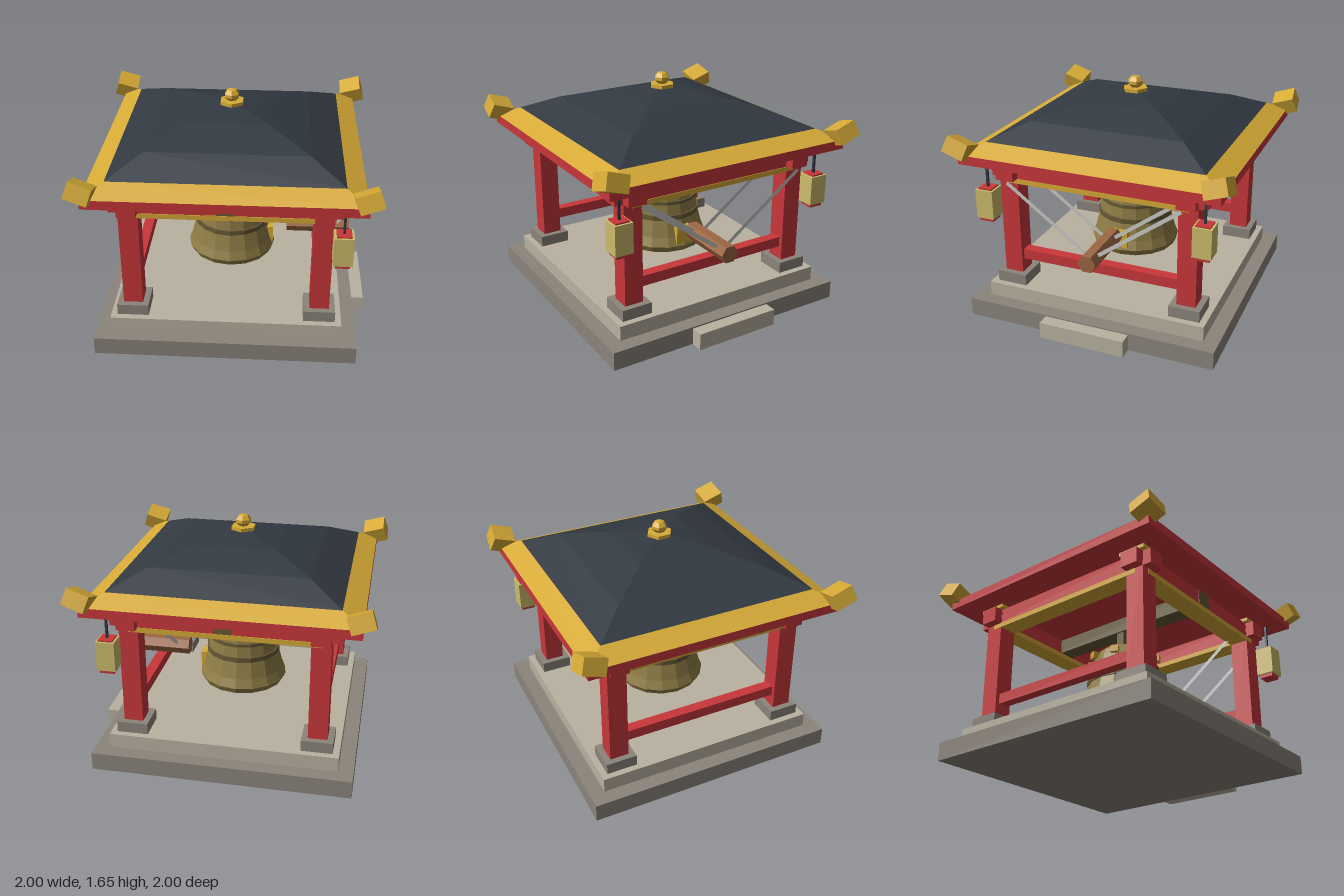
import * as THREE from 'three';

const mat = (name, color, side = THREE.FrontSide) => {
  const m = new THREE.MeshStandardMaterial({ color, flatShading: true, side });
  m.name = name;
  return m;
};

export function createModel() {
  const red = mat('red lacquer', 0xc9373a);
  const gold = mat('gold', 0xd6aa36);
  const slate = mat('slate', 0x323941);
  const bronze = mat('bronze', 0x8f7d45);
  const darkBronze = mat('dark bronze', 0x665934);
  const wood = mat('wood', 0x9c6742);
  const rope = mat('rope', 0xc9c9c5, THREE.DoubleSide);
  const paleStone = mat('pale stone', 0xbab2a1);
  const darkStone = mat('dark stone', 0x8b847b);
  const paper = mat('lantern paper', 0xcdbc6c);

  const model = new THREE.Group();
  model.name = 'bellPavilion';

  const add = (name, geometry, material, x = 0, y = 0, z = 0, parent = model) => {
    const m = new THREE.Mesh(geometry, material);
    m.name = name;
    m.position.set(x, y, z);
    parent.add(m);
    return m;
  };
  // Box given by its bottom and top heights
  const box = (name, material, w, d, y0, y1, x = 0, z = 0, parent = model) =>
    add(name, new THREE.BoxGeometry(w, y1 - y0, d), material, x, (y0 + y1) / 2, z, parent);
  const lathe = (name, material, pts, sides, start = 0, parent = model) =>
    add(name, new THREE.LatheGeometry(pts.map(p => new THREE.Vector2(p[0], p[1])), sides, start), material, 0, 0, 0, parent);
  // Four-sided lathe whose points are given as half widths
  const square = (name, material, pts) =>
    lathe(name, material, pts.map(([r, y]) => [r * Math.SQRT2, y]), 4, Math.PI / 4);

  // Stone platform
  box('platformBase', darkStone, 1.82, 1.82, 0, 0.13);
  box('platformTop', paleStone, 1.61, 1.61, 0.13, 0.235);
  box('step', paleStone, 0.095, 0.62, 0, 0.12, 0.952, 0);

  // Posts, plinths, caps and upturned roof corners
  for (const sx of [-1, 1]) for (const sz of [-1, 1]) {
    const x = sx * 0.65, z = sz * 0.65;
    box('plinth', darkStone, 0.22, 0.22, 0.235, 0.315, x, z);
    box('post', red, 0.135, 0.135, 0.315, 1.15, x, z);
    box('postCap', gold, 0.205, 0.205, 1.15, 1.175, x, z);
    const corner = add('roofCorner', new THREE.BoxGeometry(0.16, 0.115, 0.16), gold, sx * 0.905, 1.29, sz * 0.897);
    corner.rotation.set(-sz * 0.32, 0, sx * 0.32);
  }

  // Beams, trim and side rails
  for (const s of [-1, 1]) {
    box('crossBeam', red, 1.56, 0.13, 1.04, 1.15, 0, s * 0.65);
    box('sideBeam', red, 0.13, 1.56, 1.04, 1.15, s * 0.65, 0);
    box('crossTrim', gold, 1.31, 0.14, 1.005, 1.04, 0, s * 0.65);
    box('sideTrim', gold, 0.14, 1.31, 1.005, 1.04, s * 0.65, 0);
    box('sideRail', red, 0.075, 1.18, 0.41, 0.485, s * 0.65, 0);
  }
  box('bellBeam', darkBronze, 0.125, 1.44, 1.042, 1.15);

  // Roof
  box('roofSlab', red, 1.83, 1.83, 1.175, 1.24);
  square('eave', gold, [[0.915, 1.24], [0.775, 1.305]]);
  square('roof', slate, [[0.775, 1.305], [0.55, 1.41], [0.28, 1.495], [0, 1.55]]);
  add('finialPlate', new THREE.CylinderGeometry(0.09, 0.09, 0.025, 6), gold, 0, 1.55, 0);
  lathe('finial', gold, [[0.03, 1.56], [0.056, 1.588], [0.056, 1.61], [0.034, 1.638], [0, 1.647]], 6);

  // Bell
  const bell = new THREE.Group();
  bell.name = 'bell';
  model.add(bell);
  lathe('bellBody', bronze, [[0, 0.84], [0.15, 0.83], [0.22, 0.7], [0.27, 0.37], [0.302, 0.37], [0.324, 0.415],
    [0.298, 0.48], [0.268, 0.6], [0.252, 0.72], [0.24, 0.79], [0.21, 0.85], [0.17, 0.885], [0.15, 0.895], [0, 0.895]], 16, 0, bell);
  for (const [r, y0, y1] of [[0.274, 0.605, 0.64], [0.262, 0.722, 0.745]])
    lathe('bellBand', darkBronze, [[r - 0.04, y0], [r, y0], [r, y1], [r - 0.04, y1]], 16, 0, bell);
  for (let i = 0; i < 8; i++) {
    const a = (i + 0.5) * Math.PI / 4;
    const stud = box('bellStud', gold, 0.055, 0.05, 0.785, 0.835, Math.sin(a) * 0.245, Math.cos(a) * 0.245, bell);
    stud.rotation.y = a;
  }
  box('strikePlate', gold, 0.05, 0.12, 0.43, 0.56, 0.288, 0, bell);
  box('bellHanger', darkBronze, 0.1, 0.06, 0.89, 1.045, 0, 0, bell);

  // Striking log slung on flat ropes
  const log = add('strikingLog', new THREE.CylinderGeometry(0.066, 0.066, 0.465, 6), wood, 0.647, 0.577, 0);
  log.rotation.z = Math.PI / 2;
  for (const x of [0.505, 0.79]) for (const s of [-1, 1]) {
    const dz = 0.58, dy = 0.425;
    const strap = add('logRope', new THREE.PlaneGeometry(Math.hypot(dz, dy), 0.028), rope, x, 0.6 + dy / 2 + 0.01, s * (0.045 + dz / 2));
    strap.rotation.set(0, -Math.PI / 2, s * Math.atan2(dy, dz));
  }

  // Hanging lanterns
  for (const s of [-1, 1]) {
    const lantern = new THREE.Group();
    lantern.name = 'lantern';
    lantern.position.set(0.777, 0, s * 0.782);
    model.add(lantern);
    box('lanternBody', paper, 0.13, 0.13, 0.76, 0.97, 0, 0, lantern);
    box('lanternFoot', red, 0.1, 0.1, 0.735, 0.76, 0, 0, lantern);
    box('lanternLid', red, 0.1, 0.1, 0.97, 0.98, 0, 0, lantern);
    box('lanternCord', slate, 0.016, 0.016, 0.98, 1.18, 0, 0, lantern);
  }
  return model;
}
